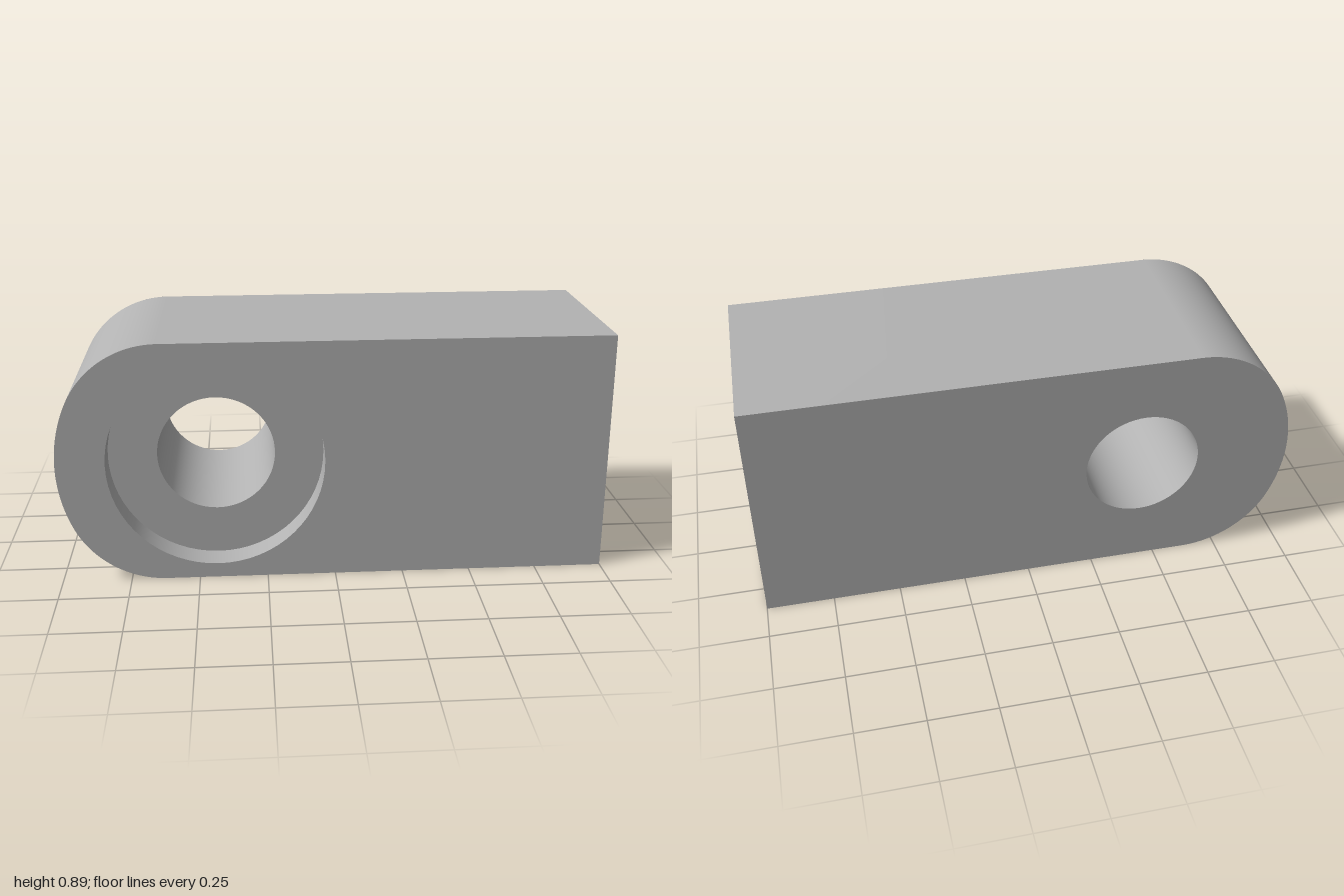
import * as THREE from 'three';
import { toCreasedNormals } from 'three/addons/utils/BufferGeometryUtils.js';

const H = 0.893, MID = H / 2, HALF = 0.358; // height, mid height, half thickness
const EYE_X = -0.43, BORE_R = 0.215;        // cross bore
const SEAT_R = 0.393, SEAT_Z = HALF - 0.107; // counterbore radius and floor
const END_DEPTH = 0.85;                     // blind bore in the square end
const SEG = 64;

// Side profile: square at +x, nose arc concentric with the eye, blended by fillets
function profile() {
  const noseR = 1 + EYE_X, r = 0.362, fx = -0.62;
  const a = Math.atan2(MID - r, EYE_X - fx);
  const s = new THREE.Shape();
  s.moveTo(1, H);
  s.lineTo(fx, H);
  s.absarc(fx, H - r, r, Math.PI / 2, Math.PI - a, false);
  s.absarc(EYE_X, MID, noseR, Math.PI - a, Math.PI + a, false);
  s.absarc(fx, r, r, Math.PI + a, Math.PI * 1.5, false);
  s.lineTo(1, 0);
  return s;
}

function withHole(shape, x, y, r) {
  const hole = new THREE.Path();
  hole.absarc(x, y, r, 0, Math.PI * 2, true);
  shape.holes.push(hole);
  return new THREE.ShapeGeometry(shape, SEG / 2);
}

// Open tube along z between two depths
function boreZ(r, z0, z1) {
  return new THREE.CylinderGeometry(r, r, z1 - z0, SEG, 1, true)
    .rotateX(Math.PI / 2).translate(EYE_X, MID, (z0 + z1) / 2);
}

// Strip that follows the profile from the top corner round the nose to the bottom corner
function outerWall() {
  const pts = profile().getPoints(16);
  const geo = new THREE.PlaneGeometry(1, 1, pts.length - 1, 1);
  const pos = geo.attributes.position;
  for (let i = 0; i < pos.count; i++) {
    const p = pts[i % pts.length];
    pos.setXYZ(i, p.x, p.y, i < pts.length ? HALF : -HALF);
  }
  return toCreasedNormals(geo, Math.PI / 6);
}

export function createModel() {
  const group = new THREE.Group();
  group.name = 'rodEnd';
  const grey = new THREE.MeshStandardMaterial({ color: 0xb2b2b2, side: THREE.DoubleSide });
  grey.name = 'plainGrey';
  const add = (name, geo) => {
    const mesh = new THREE.Mesh(geo, grey);
    mesh.name = name;
    group.add(mesh);
  };

  // Body skin
  add('outerWall', outerWall());
  add('frontFace', withHole(profile(), EYE_X, MID, SEAT_R).translate(0, 0, HALF));
  add('backFace', withHole(profile(), EYE_X, MID, BORE_R).rotateY(Math.PI)
    .scale(-1, 1, 1).translate(0, 0, -HALF));
  const end = new THREE.Shape([[-HALF, 0], [HALF, 0], [HALF, H], [-HALF, H]]
    .map(([x, y]) => new THREE.Vector2(x, y)));
  add('endFace', withHole(end, 0, MID, BORE_R).rotateY(Math.PI / 2).translate(1, 0, 0));

  // Eye: counterbore, its floor and the through bore
  add('counterboreWall', boreZ(SEAT_R, SEAT_Z, HALF));
  add('counterboreFloor', new THREE.RingGeometry(BORE_R, SEAT_R, SEG).translate(EYE_X, MID, SEAT_Z));
  add('throughBore', boreZ(BORE_R, -HALF, SEAT_Z));

  // Blind bore in the square end
  add('endBore', new THREE.CylinderGeometry(BORE_R, BORE_R, END_DEPTH, SEG, 1, true)
    .rotateZ(Math.PI / 2).translate(1 - END_DEPTH / 2, MID, 0));
  add('endBoreFloor', new THREE.CircleGeometry(BORE_R, SEG)
    .rotateY(Math.PI / 2).translate(1 - END_DEPTH, MID, 0));

  return group;
}
